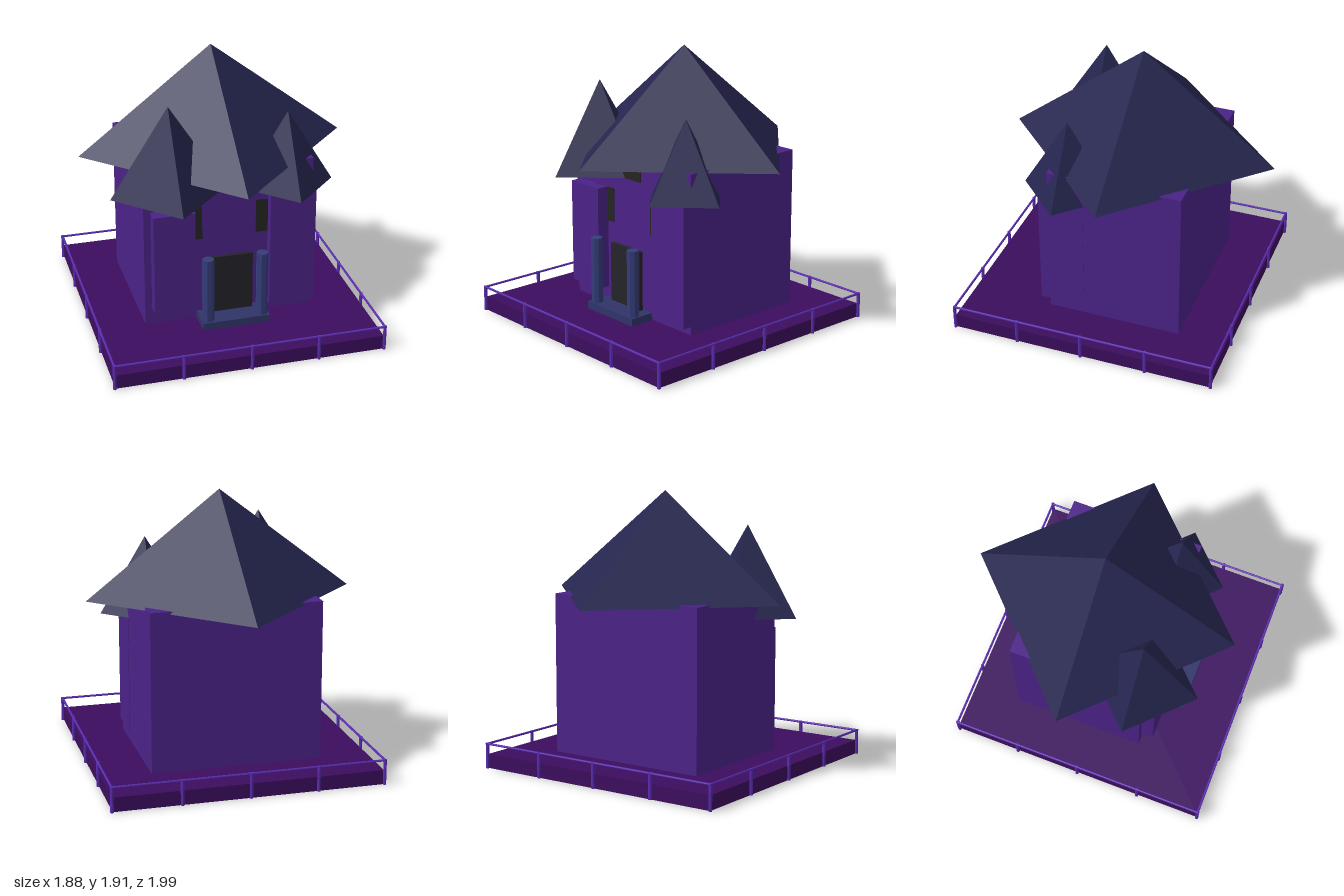
import * as THREE from 'three';

const mat = (name, color, flat = true) => {
  const m = new THREE.MeshStandardMaterial({ color, flatShading: flat });
  m.name = name;
  return m;
};

export function createModel() {
  const house = new THREE.Group();
  house.name = 'house';
  const floorMat = mat('deep purple', 0x3c0d5e);
  const wallMat = mat('violet wall', 0x4b2288);
  const railMat = mat('bright violet', 0x5a2bb0);
  const roofMat = mat('midnight roof', 0x25254f);
  const columnMat = mat('slate blue', 0x353c7a);
  const stepMat = mat('dark slate blue', 0x2f3468);
  const doorMat = mat('charcoal door', 0x232329);
  const windowMat = mat('black window', 0x242421);

  const add = (name, geometry, material, x, y, z, parent = house) => {
    const mesh = new THREE.Mesh(geometry, material);
    mesh.name = name;
    mesh.position.set(x, y, z);
    parent.add(mesh);
    return mesh;
  };
  // Box given by its minimum and maximum on each axis
  const box = (name, material, [x0, x1], [y0, y1], [z0, z1]) =>
    add(name, new THREE.BoxGeometry(x1 - x0, y1 - y0, z1 - z0), material,
      (x0 + x1) / 2, (y0 + y1) / 2, (z0 + z1) / 2);
  // Four-sided roof with its corners on the axes
  const roof = (name, x, z, radius, y0, y1) =>
    add(name, new THREE.ConeGeometry(radius, y1 - y0, 4), roofMat, x, (y0 + y1) / 2, z);

  // Ground slab and main walls
  box('floor', floorMat, [-0.925, 0.925], [0, 0.1], [-0.875, 0.975]);
  box('mainWalls', wallMat, [-0.59, 0.59], [0.1, 1.207], [-0.54, 0.4]);
  roof('mainRoof', 0, -0.073, 0.925, 1.19, 1.91);

  // Two front towers, each under its own roof
  box('rightTower', wallMat, [-0.542, -0.256], [0.22, 0.946], [0.2, 0.49]);
  roof('rightTowerRoof', -0.4, 0.343, 0.397, 1.045, 1.667);
  box('leftTower', wallMat, [0.272, 0.593], [0.16, 1.0], [0.15, 0.468]);
  roof('leftTowerRoof', 0.433, 0.304, 0.322, 0.997, 1.53);

  // Windows: one on each side of the door and one under the eaves
  for (const s of [-1, 1]) {
    box('sideWindow', windowMat, s < 0 ? [-0.375, -0.188] : [0.188, 0.375],
      [0.705, 0.946], [0.396, 0.405]);
  }
  box('upperWindow', windowMat, [-0.094, 0.094], [1.045, 1.2], [0.396, 0.405]);

  // Porch: door, step and a pair of columns
  box('door', doorMat, [-0.15, 0.15], [0.096, 0.583], [0.44, 0.468]);
  box('porchStep', stepMat, [-0.235, 0.235], [0.113, 0.165], [0.425, 0.61]);
  for (const s of [-1, 1]) {
    const column = add('porchColumn', new THREE.CylinderGeometry(0.041, 0.041, 0.47, 8),
      columnMat, s * 0.189, 0.395, 0.56);
    column.rotation.y = Math.PI / 8;
  }

  // Fence: posts and one top rail along each side of the slab
  const half = 0.93, quarter = half / 2;
  const fence = new THREE.Group();
  fence.name = 'fence';
  fence.position.z = 0.05;
  house.add(fence);
  const postGeometry = new THREE.CylinderGeometry(0.012, 0.012, 0.178, 8);
  const railGeometry = new THREE.CylinderGeometry(0.008, 0.008, half * 2, 8);
  for (let side = 0; side < 4; side++) {
    const run = new THREE.Group();
    run.name = 'fenceSide';
    run.rotation.y = side * Math.PI / 2;
    fence.add(run);
    for (let i = -2; i < 2; i++) {
      add('fencePost', postGeometry, railMat, i * quarter, 0.089, half, run);
    }
    add('fenceRail', railGeometry, railMat, 0, 0.172, half, run).rotation.z = Math.PI / 2;
  }
  return house;
}
